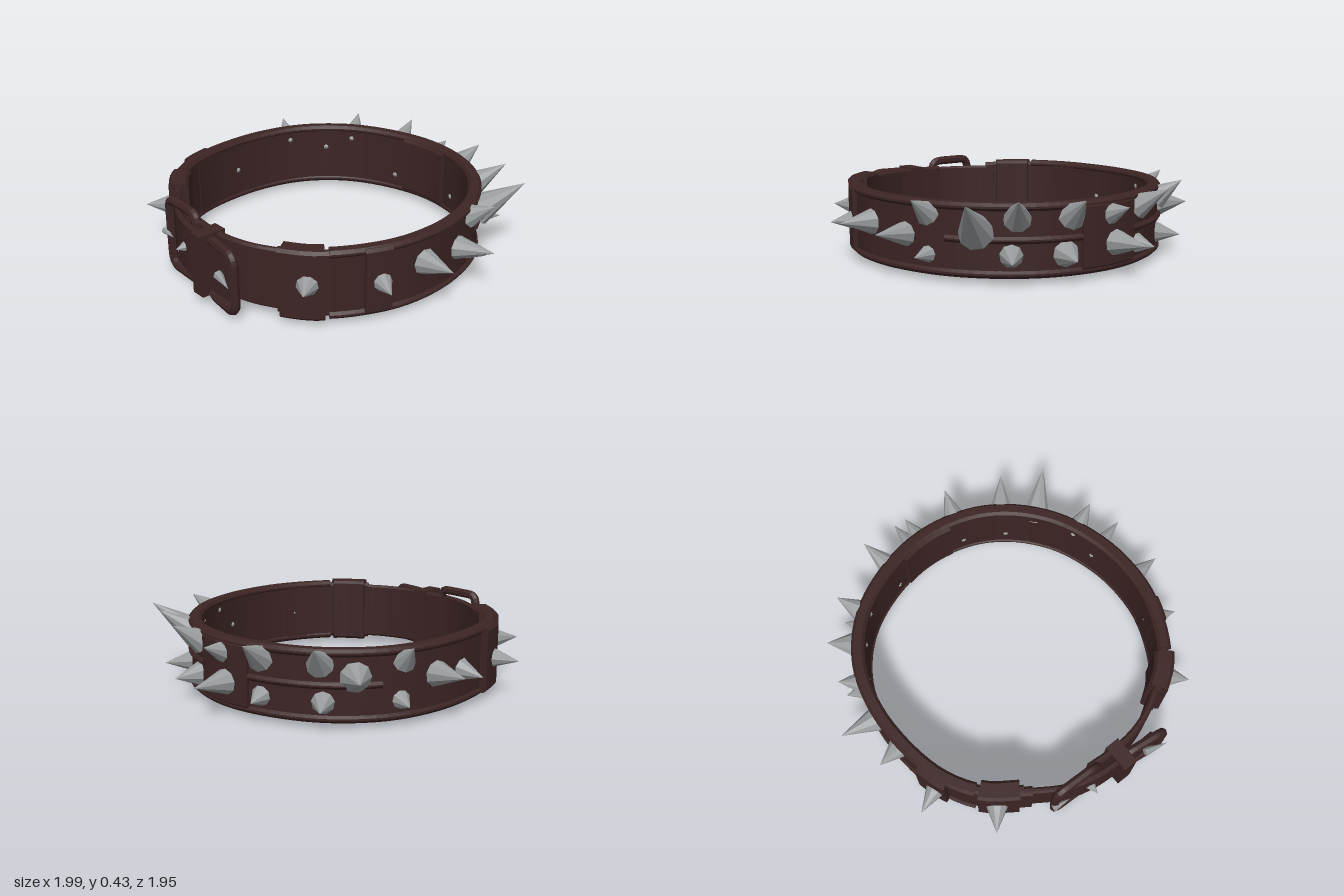
import * as THREE from 'three';

const leather = new THREE.MeshStandardMaterial({ color: 0x3c2424, flatShading: true });
leather.name = 'dark brown leather';
const steel = new THREE.MeshStandardMaterial({ color: 0x979b9c, flatShading: true });
steel.name = 'grey steel';

const curveOf = (pts) => new THREE.CatmullRomCurve3(pts.map(([x, z]) => new THREE.Vector3(x, 0, z)));

// Point and outward normal on a strap's centre line
function frameAt(curve, u) {
  const p = curve.getPointAt(u), t = curve.getTangentAt(u);
  return { p, n: new THREE.Vector3(t.z, 0, -t.x).normalize() };
}

// Sweeps a bevelled rectangle along part of a curve, with closed ends
function strap(name, curve, u0, u1, inner, outer, y0, y1, steps) {
  const b = Math.min(0.015, (outer - inner) * 0.3);
  const section = [
    [inner + b, y0], [outer - b, y0], [outer, y0 + b], [outer, y1 - b],
    [outer - b, y1], [inner + b, y1], [inner, y1 - b], [inner, y0 + b],
  ];
  const pos = [], idx = [], m = section.length;
  for (let i = 0; i <= steps; i++) {
    const { p, n } = frameAt(curve, u0 + (u1 - u0) * i / steps);
    for (const [o, y] of section) pos.push(p.x + n.x * o, y, p.z + n.z * o);
  }
  for (let i = 0; i < steps; i++) {
    for (let j = 0; j < m; j++) {
      const a = i * m + j, c = i * m + (j + 1) % m;
      idx.push(a, c, a + m, c, c + m, a + m);
    }
  }
  const e = steps * m;
  for (let j = 1; j < m - 1; j++) idx.push(0, j + 1, j, e, e + j, e + j + 1);
  const g = new THREE.BufferGeometry();
  g.setAttribute('position', new THREE.Float32BufferAttribute(pos, 3));
  g.setIndex(idx);
  g.computeVertexNormals();
  const mesh = new THREE.Mesh(g, leather);
  mesh.name = name;
  return mesh;
}

// Cone from a base point to a tip
function spike(name, base, tip, radius, sides = 9) {
  const d = tip.clone().sub(base);
  const g = new THREE.ConeGeometry(radius, d.length(), sides);
  g.translate(0, d.length() / 2, 0);
  const mesh = new THREE.Mesh(g, steel);
  mesh.position.copy(base);
  mesh.quaternion.setFromUnitVectors(new THREE.Vector3(0, 1, 0), d.normalize());
  mesh.name = name;
  return mesh;
}

// Rounded rectangular wire loop; z runs from z0 at x0 to z1 at x1
function buckle(name, x0, x1, y0, y1, z0, z1, r) {
  const c = 0.055, path = new THREE.CurvePath();
  const P = (x, y) => new THREE.Vector3(x, y, z0 + (z1 - z0) * (x - x0) / (x1 - x0));
  const corners = [[x0, y0, 1, 1], [x1, y0, -1, 1], [x1, y1, -1, -1], [x0, y1, 1, -1]];
  const pts = [];
  corners.forEach(([x, y, sx, sy], i) => {
    const alongX = P(x + sx * c, y), alongY = P(x, y + sy * c);
    const [a, b] = i % 2 ? [alongX, alongY] : [alongY, alongX];
    pts.push(...new THREE.QuadraticBezierCurve3(a, P(x, y), b).getPoints(4));
  });
  pts.forEach((p, i) => path.add(new THREE.LineCurve3(p, pts[(i + 1) % pts.length])));
  const mesh = new THREE.Mesh(new THREE.TubeGeometry(path, 72, r, 7, true), leather);
  mesh.name = name;
  return mesh;
}

export function createModel() {
  const model = new THREE.Group();
  model.name = 'spikedCollar';

  // Main band, from the front right end round the back to the front left end
  const band = curveOf([
    [-0.44, 0.71], [-0.6, 0.59], [-0.71, 0.42], [-0.765, 0.22], [-0.775, -0.08], [-0.7, -0.35],
    [-0.53, -0.56], [-0.29, -0.69], [0, -0.745], [0.29, -0.69], [0.5, -0.56], [0.67, -0.35],
    [0.76, -0.1], [0.78, 0.1], [0.755, 0.3], [0.66, 0.52], [0.56, 0.65], [0.43, 0.74],
  ]);
  model.add(strap('band', band, 0, 1, -0.025, 0.027, 0.04, 0.385, 64));
  model.add(strap('lowerRim', band, 0.06, 0.94, -0.032, 0.04, 0.03, 0.07, 64));
  model.add(strap('upperRim', band, 0.06, 0.94, -0.032, 0.04, 0.355, 0.395, 64));
  model.add(strap('backPlate', band, 0.46, 0.54, -0.045, 0.045, 0.05, 0.38, 6));
  model.add(strap('backRidge', band, 0.3, 0.7, 0, 0.045, 0.2, 0.235, 30));
  // Leather loops sewn over the band
  model.add(strap('rightEndLoop', band, 0.005, 0.055, -0.05, 0.055, 0.035, 0.395, 4));
  model.add(strap('leftEndLoop', band, 0.945, 0.995, -0.05, 0.055, 0.03, 0.4, 4));
  model.add(strap('rightSideLoop', band, 0.095, 0.135, -0.03, 0.065, 0.04, 0.39, 4));
  model.add(strap('leftSideLoop', band, 0.868, 0.9, -0.03, 0.05, 0.04, 0.39, 4));

  // Two thin straps that overlap at the front
  const inner = curveOf([[0.45, 0.72], [0.32, 0.79], [0.18, 0.83], [0.02, 0.835], [-0.1, 0.825]]);
  model.add(strap('innerStrap', inner, 0, 1, -0.018, 0.018, 0.05, 0.375, 14));
  const outer = curveOf([[0.27, 0.895], [0.12, 0.895], [-0.08, 0.885], [-0.25, 0.835], [-0.47, 0.695]]);
  model.add(strap('outerStrap', outer, 0, 1, -0.015, 0.017, 0.075, 0.36, 18));
  model.add(strap('strapEndFold', outer, 0.9, 1, -0.02, 0.03, 0.045, 0.38, 4));

  // Keeper and the two buckles
  const keeper = new THREE.Mesh(new THREE.BoxGeometry(0.08, 0.33, 0.15), leather);
  keeper.position.set(0.065, 0.215, 0.88);
  keeper.name = 'keeper';
  model.add(keeper);
  model.add(buckle('rightBuckle', -0.33, -0.07, 0.028, 0.405, 0.84, 0.85, 0.025));
  model.add(buckle('leftBuckle', 0.09, 0.325, 0.045, 0.355, 0.89, 0.92, 0.025));
  const v = (x, y, z) => new THREE.Vector3(x, y, z);
  model.add(spike('rightProng', v(-0.36, 0.215, 0.86), v(-0.26, 0.215, 0.875), 0.02, 6));
  model.add(spike('leftProng', v(0.21, 0.215, 0.93), v(0.34, 0.205, 0.965), 0.025, 6));
  model.add(spike('strapStud', v(-0.13, 0.22, 0.875), v(-0.13, 0.22, 0.945), 0.035, 7));

  // Spikes: tip x, y, z, base height, base radius
  const spikes = [
    [-0.67, 0.23, 0.78, 0.225, 0.07], [-0.91, 0.2, 0.45, 0.21, 0.065],
    [-0.93, 0.19, 0.11, 0.21, 0.06], [-1, 0.25, -0.13, 0.23, 0.07],
    [-0.85, 0.41, -0.33, 0.32, 0.06], [-0.84, 0.12, -0.34, 0.13, 0.05],
    [-0.76, 0.27, -0.6, 0.26, 0.08], [-0.6, 0.12, -0.7, 0.13, 0.06],
    [-0.58, 0.42, -0.72, 0.32, 0.07], [-0.28, 0.42, -0.89, 0.32, 0.07],
    [-0.26, 0.12, -0.83, 0.13, 0.055], [-0.03, 0.18, -0.99, 0.17, 0.075],
    [0, 0.36, -0.9, 0.315, 0.06], [0.27, 0.42, -0.88, 0.32, 0.07],
    [0.3, 0.13, -0.86, 0.14, 0.07], [0.57, 0.43, -0.75, 0.32, 0.07],
    [0.58, 0.13, -0.72, 0.14, 0.06], [0.79, 0.42, -0.64, 0.25, 0.09],
    [0.86, 0.41, -0.31, 0.33, 0.065], [0.84, 0.13, -0.3, 0.13, 0.045],
    [0.98, 0.24, -0.18, 0.215, 0.065], [0.99, 0.25, 0.13, 0.24, 0.07],
    [0.88, 0.2, 0.43, 0.21, 0.06], [0.66, 0.23, 0.78, 0.225, 0.07],
  ];
  const samples = Array.from({ length: 301 }, (_, i) => frameAt(band, i / 300));
  spikes.forEach(([x, y, z, baseY, r], i) => {
    // Root each spike on the nearest stretch of band, with a rivet inside
    const dist = (s) => Math.hypot(s.p.x - x, s.p.z - z);
    const { p, n } = samples.reduce((a, s) => (dist(s) < dist(a) ? s : a));
    const base = p.clone().addScaledVector(n, 0.02).setY(baseY);
    model.add(spike('spike' + (i + 1), base, v(x, y, z), r));
    if (i % 2 === 0) {
      const root = p.clone().addScaledVector(n, -0.022).setY(baseY);
      const end = p.clone().addScaledVector(n, -0.034).setY(baseY);
      model.add(spike('rivet' + (i + 1), root, end, 0.022, 6));
    }
  });
  return model;
}
